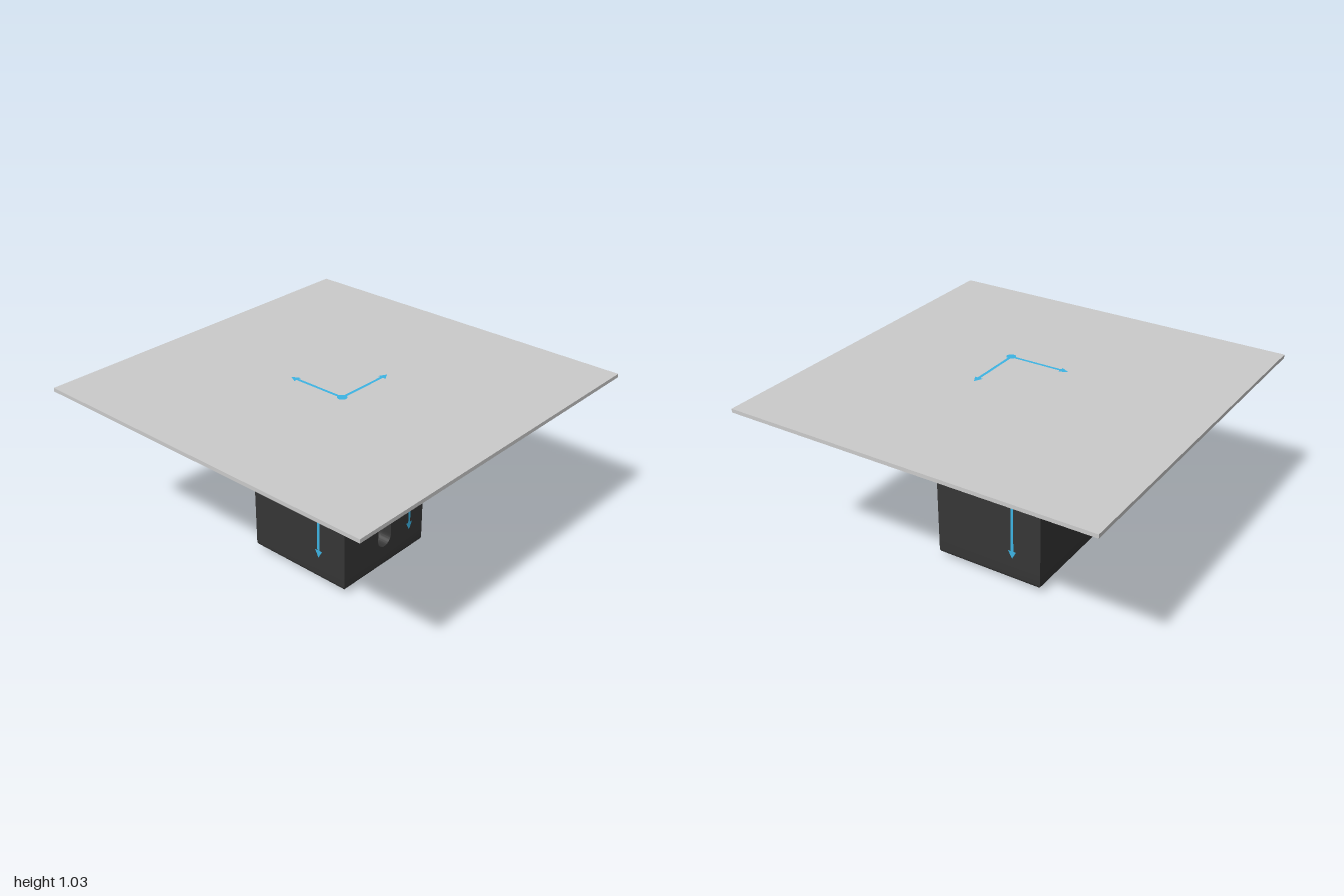
import * as THREE from 'three';
import { toCreasedNormals } from 'three/addons/utils/BufferGeometryUtils.js';

const grey = new THREE.MeshStandardMaterial({ color: 0xcccccc });
const steel = new THREE.MeshStandardMaterial({ color: 0x8c8c8c });
const black = new THREE.MeshStandardMaterial({ color: 0x363636 });
const blue = new THREE.MeshStandardMaterial({ color: 0x3cb4e4, side: THREE.DoubleSide });

const HALF = 0.315, BOTTOM = 0.03, TOP = 0.69, SPLIT = 0.12;

function add(parent, name, geometry, material, x = 0, y = 0, z = 0) {
  const mesh = new THREE.Mesh(geometry, material);
  mesh.name = name;
  mesh.position.set(x, y, z);
  parent.add(mesh);
  return mesh;
}

const extrude = (shape, depth) =>
  new THREE.ExtrudeGeometry(shape, { depth, bevelEnabled: false, curveSegments: 24 });

// Lower housing: a box whose bottom rows curl inwards to round the edge
function roundedBase() {
  const h = SPLIT - BOTTOM, r = 0.022, rows = 7;
  const g = new THREE.BoxGeometry(2 * HALF, h, 2 * HALF, 1, rows, 1);
  const p = g.attributes.position;
  for (let i = 0; i < p.count; i++) {
    const row = Math.round((p.getY(i) / h + 0.5) * rows);
    if (row === rows) { p.setY(i, SPLIT); continue; }
    const a = (row / (rows - 1)) * Math.PI / 2;
    const s = (HALF - r * (1 - Math.sin(a))) / HALF;
    p.setXYZ(i, p.getX(i) * s, BOTTOM + r * (1 - Math.cos(a)), p.getZ(i) * s);
  }
  return toCreasedNormals(g, 0.6);
}

// Flat marker: a dot with two arrows running left and down
function axisMarker(name) {
  const marker = new THREE.Group();
  marker.name = name;
  const arrow = new THREE.Shape([[0, -0.008], [0.295, -0.008], [0.295, -0.024], [0.34, 0],
    [0.295, 0.024], [0.295, 0.008], [0, 0.008]].map(([x, y]) => new THREE.Vector2(x, y)));
  for (const angle of [Math.PI, -Math.PI / 2]) {
    add(marker, 'markerArrow', new THREE.ShapeGeometry(arrow), blue, 0.165, 0.165).rotation.z = angle;
  }
  add(marker, 'markerDot', new THREE.CircleGeometry(0.026, 24), blue, 0.165, 0.165, 0.001);
  return marker;
}

export function createModel() {
  const model = new THREE.Group();
  model.name = 'mountedPlate';

  // Thin square plate
  add(model, 'plate', new THREE.BoxGeometry(2, 0.02, 2), grey, 0, 0.995, 0);

  // Housing with a vertical cable groove in the front and a round hole at its foot
  const housing = new THREE.Group();
  housing.name = 'housing';
  model.add(housing);
  add(housing, 'housingBase', roundedBase(), black);

  const grooveDepth = 0.06, holeDepth = 0.1, r = 0.052, holeY = 0.2;
  const front = new THREE.Shape();
  front.moveTo(-HALF, SPLIT);
  front.lineTo(HALF, SPLIT);
  front.lineTo(HALF, TOP);
  front.lineTo(r, TOP);
  front.lineTo(r, holeY);
  front.absarc(0, holeY, r, 0, Math.PI, true);
  front.lineTo(-r, TOP);
  front.lineTo(-HALF, TOP);
  add(housing, 'groovedFront', toCreasedNormals(extrude(front, grooveDepth), 0.6), black,
    0, 0, HALF - grooveDepth);

  const middle = new THREE.Shape([[-HALF, SPLIT], [HALF, SPLIT], [HALF, TOP], [-HALF, TOP]]
    .map(([x, y]) => new THREE.Vector2(x, y)));
  middle.holes.push(new THREE.Path().absarc(0, holeY, r, 0, Math.PI * 2, true));
  add(housing, 'cableHole', toCreasedNormals(extrude(middle, holeDepth), 0.6), black,
    0, 0, HALF - grooveDepth - holeDepth);

  const backDepth = 2 * HALF - grooveDepth - holeDepth;
  add(housing, 'housingBack', new THREE.BoxGeometry(2 * HALF, TOP - SPLIT, backDepth), black,
    0, (TOP + SPLIT) / 2, -HALF + backDepth / 2);

  // Round collar with a softened lower edge
  const collar = [[0, 0.685], [0.195, 0.685], [0.2, 0.697], [0.206, 0.702], [0.21, 0.71], [0.21, 0.92], [0, 0.92]]
    .map(([x, y]) => new THREE.Vector2(x, y));
  add(model, 'collar', toCreasedNormals(new THREE.LatheGeometry(collar, 64), 0.5), steel);

  // Pair of jaws carrying the plate, chamfered on their inner top edge
  const jaw = new THREE.Shape([[0.085, 0.915], [0.16, 0.915], [0.16, 0.986], [0.105, 0.986], [0.085, 0.966]]
    .map(([x, y]) => new THREE.Vector2(x, y)));
  for (const side of [0, 1]) {
    const holder = new THREE.Group();
    holder.name = side ? 'rightJaw' : 'leftJaw';
    holder.rotation.y = side * Math.PI;
    add(holder, 'jaw', extrude(jaw, 0.26), steel, 0, 0, -0.13);
    model.add(holder);
  }

  // Axis markers floating just off the four sides, the plate and the underside
  ['front', 'left', 'back', 'right'].forEach((side, i) => {
    const marker = axisMarker(side + 'Marker');
    marker.rotation.y = i * Math.PI / 2;
    marker.position.set(0, 0.36, 0);
    marker.translateZ(HALF + 0.03);
    model.add(marker);
  });
  for (const [name, y, tilt] of [['topMarker', 1.03, -1], ['bottomMarker', 0, 1]]) {
    const marker = axisMarker(name);
    marker.rotation.set(tilt * Math.PI / 2, 0, Math.PI);
    marker.position.y = y;
    model.add(marker);
  }
  return model;
}
